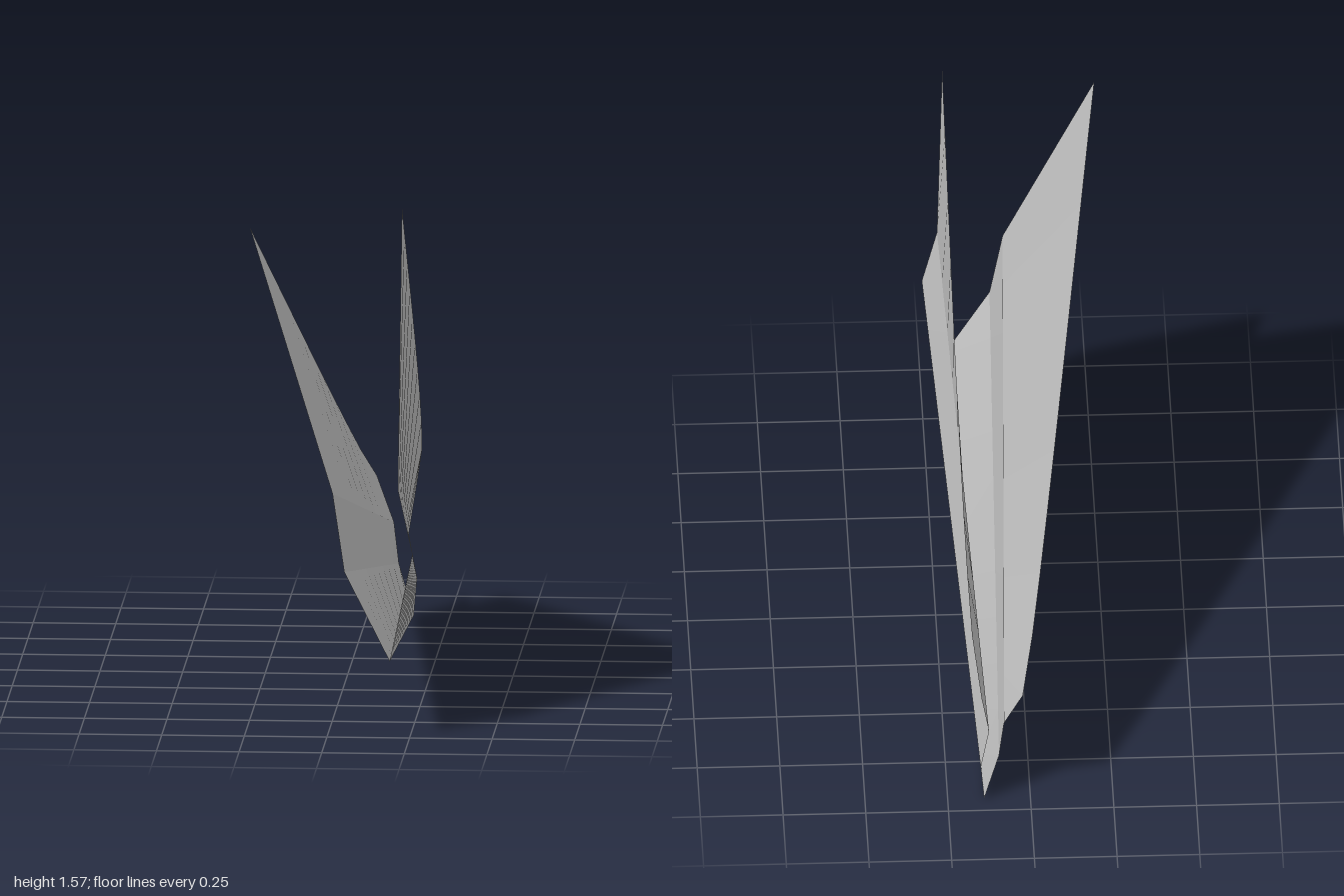
import * as THREE from 'three';

// Each fold line runs from its back point to its front point;
// bow pushes the line sideways between the ends.
const keel = { back: [0.14, 0, -0.94], front: [0.19, 0.235, 1.0], bow: 0 };

const sides = {
  left: [
    { back: [0.15, 0.115, -0.94], front: [0.255, 0.555, 0.95], bow: 0 },
    { back: [0.125, 0.25, -0.94], front: [0.21, 0.75, 0.93], bow: 0 },
    { back: [0.15, 0.42, -1.0], front: [0.205, 1.567, 0.65], bow: 0.02 },
  ],
  right: [
    { back: [0.095, 0.16, -0.94], front: [0.05, 0.5, 0.96], bow: 0 },
    { back: [0.08, 0.285, -0.945], front: [0.012, 0.735, 0.925], bow: 0 },
    { back: [0.025, 0.42, -0.99], front: [-0.255, 1.5, 0.66], bow: -0.01 },
  ],
};

function pointOn(line, t) {
  const p = line.back.map((b, i) => b + (line.front[i] - b) * t);
  p[0] += line.bow * Math.sin(Math.PI * Math.sqrt(t));
  return p;
}

// Ruled strip of paper between two fold lines
function panel(lower, upper, flip, steps) {
  const positions = [];
  const index = [];
  for (let i = 0; i <= steps; i++) {
    positions.push(...pointOn(lower, i / steps), ...pointOn(upper, i / steps));
    if (i === steps) break;
    const a = i * 2;
    if (flip) index.push(a, a + 2, a + 1, a + 1, a + 2, a + 3);
    else index.push(a, a + 1, a + 2, a + 1, a + 3, a + 2);
  }
  const geometry = new THREE.BufferGeometry();
  geometry.setAttribute('position', new THREE.Float32BufferAttribute(positions, 3));
  geometry.setIndex(index);
  geometry.computeVertexNormals();
  return geometry;
}

export function createModel() {
  const model = new THREE.Group();
  model.name = 'foldedSheet';

  const paper = new THREE.MeshStandardMaterial({
    color: 0xc0c0c0, flatShading: true, side: THREE.DoubleSide,
  });
  paper.name = 'paperGrey';

  // Three panels rise from the keel on each side
  const names = ['KeelPanel', 'FoldBand', 'Wing'];
  for (const [side, lines] of Object.entries(sides)) {
    const folds = [keel, ...lines];
    names.forEach((name, i) => {
      const mesh = new THREE.Mesh(
        panel(folds[i], folds[i + 1], side === 'right', 10), paper);
      mesh.name = side + name;
      model.add(mesh);
    });
  }
  return model;
}
